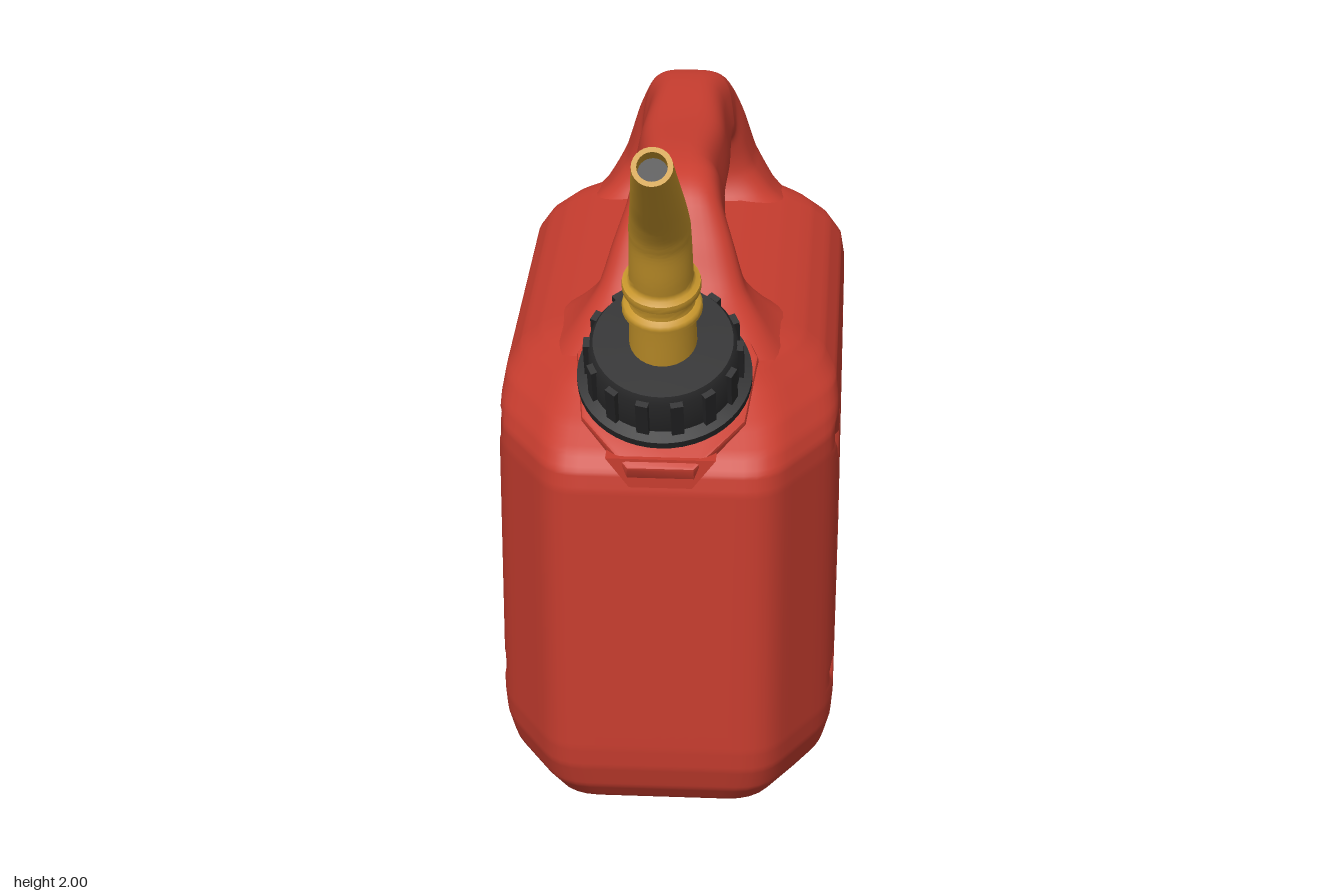
import * as THREE from 'three';
import { toCreasedNormals } from 'three/addons/utils/BufferGeometryUtils.js';

const red = new THREE.MeshStandardMaterial({ color: 0xc83d2f });
red.name = 'red plastic';
const yellow = new THREE.MeshStandardMaterial({ color: 0xca982c });
yellow.name = 'yellow plastic';
const black = new THREE.MeshStandardMaterial({ color: 0x2b2b2c });
black.name = 'black plastic';

const lerp = THREE.MathUtils.lerp;

function mesh(name, geometry, material, parent) {
  const m = new THREE.Mesh(geometry, material);
  m.name = name;
  parent.add(m);
  return m;
}

// Skin a list of closed rings, each with the same number of [x, y, z] points
function loft(rings) {
  const n = rings[0].length, index = [];
  for (let i = 0; i < rings.length - 1; i++) {
    for (let j = 0; j < n; j++) {
      const a = i * n + j, b = i * n + (j + 1) % n;
      index.push(a, b, b + n, a, b + n, a + n);
    }
  }
  const g = new THREE.BufferGeometry();
  g.setAttribute('position', new THREE.Float32BufferAttribute(rings.flat(2), 3));
  g.setIndex(index);
  g.computeVertexNormals();
  return g;
}

// Horizontal outline of the can: a rectangle with cut, softened corners
function outline(w, zf, zb) {
  const k = w / 0.445, a = w * 0.63, r = Math.min(0.07, w * 0.2);
  const c = [[0, zf], [a, zf], [w, zf - 0.28 * k], [w, zb + 0.17 * k], [a, zb], [0, zb]]
    .map(p => new THREE.Vector2(...p));
  const counts = [6, 5, 110, 5, 6], half = [];
  const toward = (p, q) => p.clone().add(q.clone().sub(p).setLength(r));
  for (let i = 0; i < 5; i++) {
    const s = i === 0 ? c[0] : toward(c[i], c[i + 1]);
    const e = i === 4 ? c[5] : toward(c[i + 1], c[i]);
    for (let j = 0; j <= counts[i]; j++) half.push(s.clone().lerp(e, j / counts[i]));
    if (i < 4) {
      const bend = new THREE.QuadraticBezierCurve(e, c[i + 1], toward(c[i + 1], c[i + 2]));
      half.push(...bend.getPoints(4).slice(1, -1));
    }
  }
  const other = half.slice(1, -1).reverse().map(p => new THREE.Vector2(-p.x, p.y));
  return [...half, ...other];
}

// Depth of the pressed side pattern: a frame with four diagonal arms
function grooveDepth(y, z) {
  const u = Math.abs(z + 0.18), v = Math.abs(y - 0.63);
  const frame = Math.max(u - 0.3, v - 0.23, -Math.max(u - 0.235, v - 0.165));
  const ax = 0.27, ay = 0.2, bx = 0.21, by = 0.155;
  const t = THREE.MathUtils.clamp(((u - ax) * bx + (v - ay) * by) / (bx * bx + by * by), 0, 1);
  const arm = Math.hypot(u - ax - bx * t, v - ay - by * t) - 0.037;
  return 0.02 * (1 - THREE.MathUtils.smoothstep(Math.min(frame, arm), -0.016, 0.008));
}

function bodyGeometry() {
  // height, half width, front z, back z
  const profile = [
    [0, 0.33, 0.54, -0.86], [0.02, 0.38, 0.585, -0.905], [0.07, 0.42, 0.62, -0.94],
    [0.08, 0.424, 0.623, -0.943], [0.14, 0.44, 0.64, -0.96], [0.2, 0.445, 0.645, -0.965],
    [0.96, 0.445, 0.645, -0.965], [1.01, 0.445, 0.635, -0.965], [1.05, 0.443, 0.6, -0.965],
    [1.1, 0.435, 0.53, -0.962], [1.15, 0.4, 0.45, -0.945], [1.19, 0.345, 0.4, -0.92],
    [1.22, 0.26, 0.34, -0.89], [1.235, 0.15, 0.3, -0.84]];
  const rings = [];
  const addRing = ([y, w, zf, zb], sx = 1) => rings.push(outline(w, zf, zb).map(p => {
    let x = p.x * sx, h = y;
    const z = p.y;
    if (Math.abs(x) > 0.4) x -= Math.sign(x) * grooveDepth(y, z);
    // Shallow notches between the feet
    if (y < 0.071 && ((z > 0.07 && z < 0.33) || (z > -0.7 && z < -0.45))) {
      x *= 0.955;
      h = Math.max(y, 0.022);
    }
    return [x, h, z];
  }));
  addRing(profile[0], 0);
  addRing(profile[0], 0.92);
  for (let i = 0; i < profile.length - 1; i++) {
    const a = profile[i], b = profile[i + 1], n = Math.ceil((b[0] - a[0]) / 0.0115);
    for (let j = 0; j < n; j++) addRing(a.map((v, k) => lerp(v, b[k], j / n)));
  }
  addRing(profile.at(-1));
  addRing(profile.at(-1), 0);
  return loft(rings);
}

function handleGeometry() {
  // inner z, y; outer z, y; inner and outer half widths
  const stations = [
    [-0.07, 1.19, 0.46, 1.11, 0.36, 0.33], [-0.025, 1.245, 0.33, 1.235, 0.25, 0.26],
    [0, 1.3, 0.22, 1.33, 0.18, 0.2], [-0.01, 1.36, 0.145, 1.45, 0.155, 0.16],
    [-0.035, 1.4, 0.07, 1.555, 0.14, 0.12], [-0.09, 1.42, -0.03, 1.6, 0.14, 0.105],
    [-0.35, 1.42, -0.36, 1.6, 0.14, 0.105], [-0.59, 1.42, -0.71, 1.6, 0.14, 0.105],
    [-0.64, 1.4, -0.785, 1.565, 0.14, 0.12], [-0.66, 1.36, -0.83, 1.49, 0.155, 0.15],
    [-0.665, 1.3, -0.87, 1.35, 0.18, 0.19], [-0.645, 1.245, -0.905, 1.23, 0.24, 0.24],
    [-0.59, 1.19, -0.93, 1.13, 0.35, 0.31]];
  const curve = (a, b) => new THREE.CatmullRomCurve3(
    stations.map(s => new THREE.Vector3(0, s[a], s[b])));
  const inner = curve(1, 0), outer = curve(3, 2), width = curve(4, 5);
  const soft = v => Math.sign(v) * Math.pow(Math.abs(v), 0.55);
  const rings = [];
  for (let i = 0; i <= 72; i++) {
    const p = inner.getPoint(i / 72), q = outer.getPoint(i / 72), w = width.getPoint(i / 72);
    rings.push(Array.from({ length: 40 }, (_, j) => {
      const th = j / 40 * Math.PI * 2, t = (1 + soft(Math.cos(th))) / 2;
      return [soft(Math.sin(th)) * lerp(w.y, w.z, t), lerp(p.y, q.y, t), lerp(p.z, q.z, t)];
    }));
  }
  return loft(rings);
}

function spoutGeometry(path) {
  const bump = (y, c) => 0.018 * (1 - THREE.MathUtils.smoothstep(Math.abs(y - c), 0.008, 0.022));
  const radius = y => (y < 1.7 ? lerp(0.087, 0.077, (y - 1.31) / 0.39)
    : lerp(0.077, 0.05, (y - 1.7) / 0.268)) + bump(y, 1.45) + bump(y, 1.52);
  const ring = (t, r) => {
    const p = path.getPointAt(t), d = path.getTangentAt(t);
    r = r ?? radius(p.y);
    return Array.from({ length: 28 }, (_, j) => {
      const th = j / 28 * Math.PI * 2, c = r * Math.cos(th);
      return [r * Math.sin(th), p.y - d.z * c, p.z + d.y * c];
    });
  };
  const rings = [];
  for (let i = 0; i <= 110; i++) rings.push(ring(i / 110));
  // Rim and inside wall of the open tip
  rings.push(ring(1, 0.037), ring(0.92, 0.037));
  return toCreasedNormals(loft(rings), 0.7);
}

export function createModel() {
  const model = new THREE.Group();
  model.name = 'fuelCan';
  mesh('body', bodyGeometry(), red, model);
  mesh('handle', handleGeometry(), red, model);

  // Small lip at the front edge below the neck
  const lip = new THREE.Shape([[-0.08, 0.98], [0.08, 0.98], [0.14, 1.06], [-0.14, 1.06]]
    .map(p => new THREE.Vector2(...p)));
  mesh('frontLip', new THREE.ExtrudeGeometry(lip, { depth: 0.05, bevelEnabled: false }), red, model)
    .position.z = 0.602;

  // Neck and cap share one tilted axis
  const neck = new THREE.Group();
  neck.name = 'neckAssembly';
  neck.position.set(0, 1.2, 0.46);
  neck.rotation.x = 0.49;
  model.add(neck);
  const right = [[0.08, -0.25], [0.2, -0.1], [0.225, 0.1], [0.17, 0.23]];
  const left = right.map(([x, y]) => [-x, y]).reverse();
  const collar = new THREE.ExtrudeGeometry(
    new THREE.Shape([...right, ...left].map(p => new THREE.Vector2(...p))),
    { depth: 0.08, bevelSize: 0.01, bevelThickness: 0.01, bevelSegments: 2 });
  collar.rotateX(-Math.PI / 2);
  mesh('collar', toCreasedNormals(collar, 0.6), red, neck).position.y = -0.13;
  mesh('neck', new THREE.CylinderGeometry(0.17, 0.17, 0.12, 40), red, neck).position.y = -0.06;

  const capProfile = [[0, -0.03], [0.18, -0.03], [0.2, -0.002], [0.224, 0], [0.224, 0.022],
    [0.192, 0.028], [0.19, 0.135], [0.178, 0.155], [0, 0.157]].map(p => new THREE.Vector2(...p));
  mesh('cap', toCreasedNormals(new THREE.LatheGeometry(capProfile, 48), 0.6), black, neck);
  for (let i = 0; i < 14; i++) {
    const a = (i + 0.5) / 14 * Math.PI * 2;
    const rib = mesh('capRib', new THREE.BoxGeometry(0.032, 0.115, 0.03), black, neck);
    rib.position.set(Math.sin(a) * 0.188, 0.083, Math.cos(a) * 0.188);
    rib.rotation.y = a;
  }

  // Bent spout with two grip rings and a dark bore
  const path = new THREE.CatmullRomCurve3([[1.31, 0.52], [1.453, 0.565], [1.57, 0.61],
    [1.685, 0.652], [1.762, 0.712], [1.845, 0.802], [1.968, 0.936]]
    .map(([y, z]) => new THREE.Vector3(0, y, z)));
  mesh('spout', spoutGeometry(path), yellow, model);
  const bore = mesh('spoutBore', new THREE.CircleGeometry(0.038, 24), black, model);
  bore.position.copy(path.getPointAt(0.95));
  bore.lookAt(path.getPointAt(1));
  return model;
}
